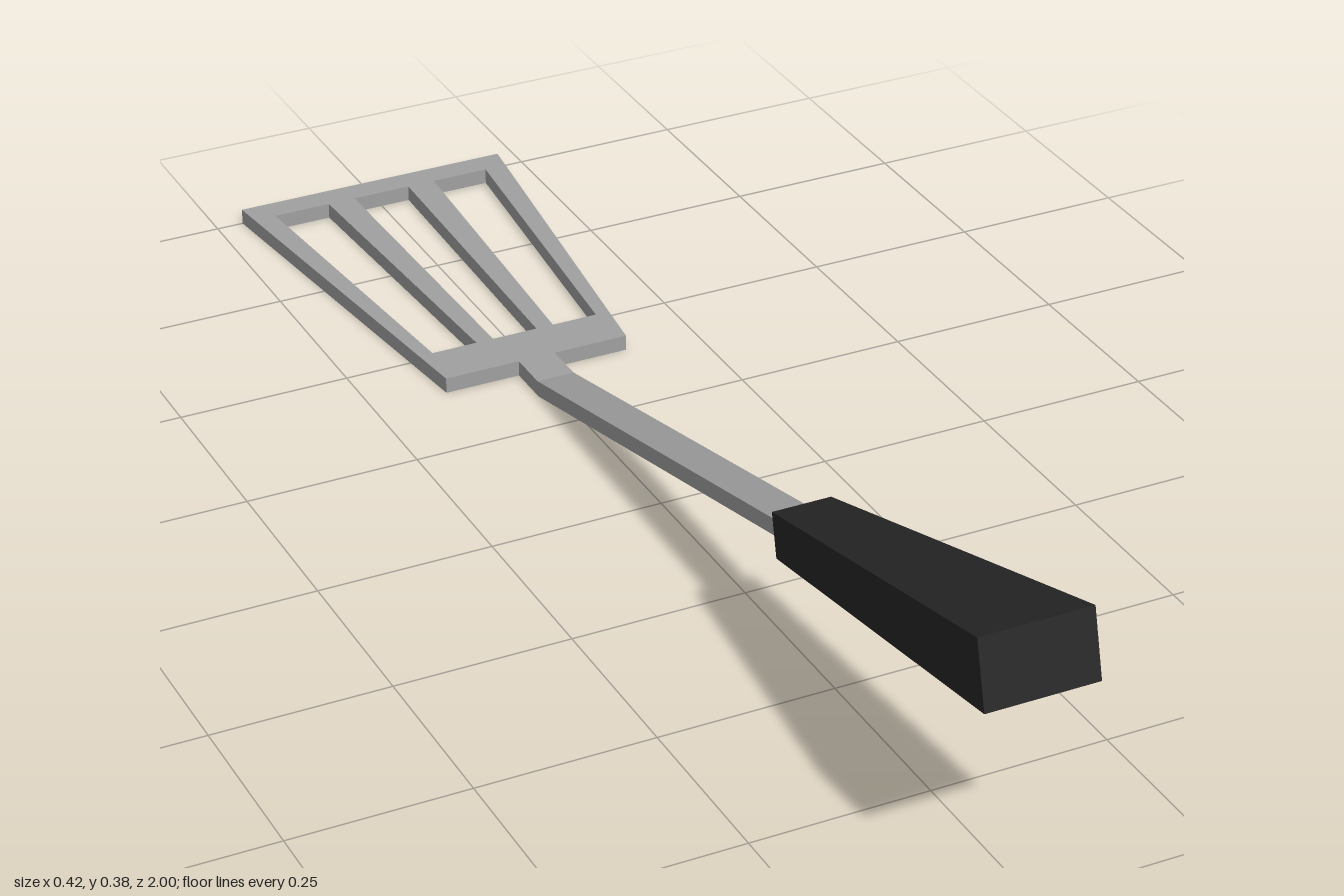
import * as THREE from 'three';

const steel = new THREE.MeshStandardMaterial({ color: 0xa0a0a0 });
steel.name = 'steel';
const black = new THREE.MeshStandardMaterial({ color: 0x262626 });
black.name = 'black plastic';

const points = (list) => list.map(([a, b]) => new THREE.Vector2(a, b));

// Side profile given as [z, y] points, extruded across x and centred
function profileAcross(list, halfWidth) {
  const geometry = new THREE.ExtrudeGeometry(new THREE.Shape(points(list)), {
    depth: halfWidth * 2, bevelEnabled: false,
  });
  return geometry.rotateY(-Math.PI / 2).translate(halfWidth, 0, 0);
}

function createBlade() {
  const front = 0.4, back = 1, slotFront = 0.475, slotBack = 0.96;
  const shape = new THREE.Shape(points([
    [-0.14, front], [0.14, front], [0.21, back], [-0.21, back],
  ]));
  // Three slots that fan out: [front left, front right, back right, back left]
  const slots = [
    [-0.128, -0.06, -0.086, -0.172],
    [-0.034, 0.034, 0.044, -0.044],
    [0.06, 0.128, 0.172, 0.086],
  ];
  for (const [a, b, c, d] of slots) {
    shape.holes.push(new THREE.Path(points([
      [a, slotFront], [d, slotBack], [c, slotBack], [b, slotFront],
    ])));
  }
  const geometry = new THREE.ExtrudeGeometry(shape, { depth: 0.023, bevelEnabled: false });
  return geometry.rotateX(-Math.PI / 2);
}

// Grip tapers in width from its rear end to the shaft
function createGrip() {
  const geometry = profileAcross([
    [0.416, 0.158], [1, 0.287], [0.977, 0.378], [0.402, 0.219],
  ], 1);
  const position = geometry.attributes.position;
  for (let i = 0; i < position.count; i++) {
    const halfWidth = position.getZ(i) > 0.7 ? 0.078 : 0.042;
    position.setX(i, Math.sign(position.getX(i)) * halfWidth);
  }
  geometry.computeVertexNormals();
  return geometry;
}

export function createModel() {
  const model = new THREE.Group();
  model.name = 'slottedTurner';
  const add = (name, geometry, material) => {
    const mesh = new THREE.Mesh(geometry, material);
    mesh.name = name;
    model.add(mesh);
  };

  add('blade', createBlade(), steel);
  // Flat neck bending up into the sloping shaft
  add('shaft', profileAcross([
    [-0.4, 0], [-0.334, 0], [0.43, 0.181], [0.43, 0.205], [-0.337, 0.023], [-0.4, 0.023],
  ], 0.028), steel);
  add('grip', createGrip(), black);
  return model;
}
